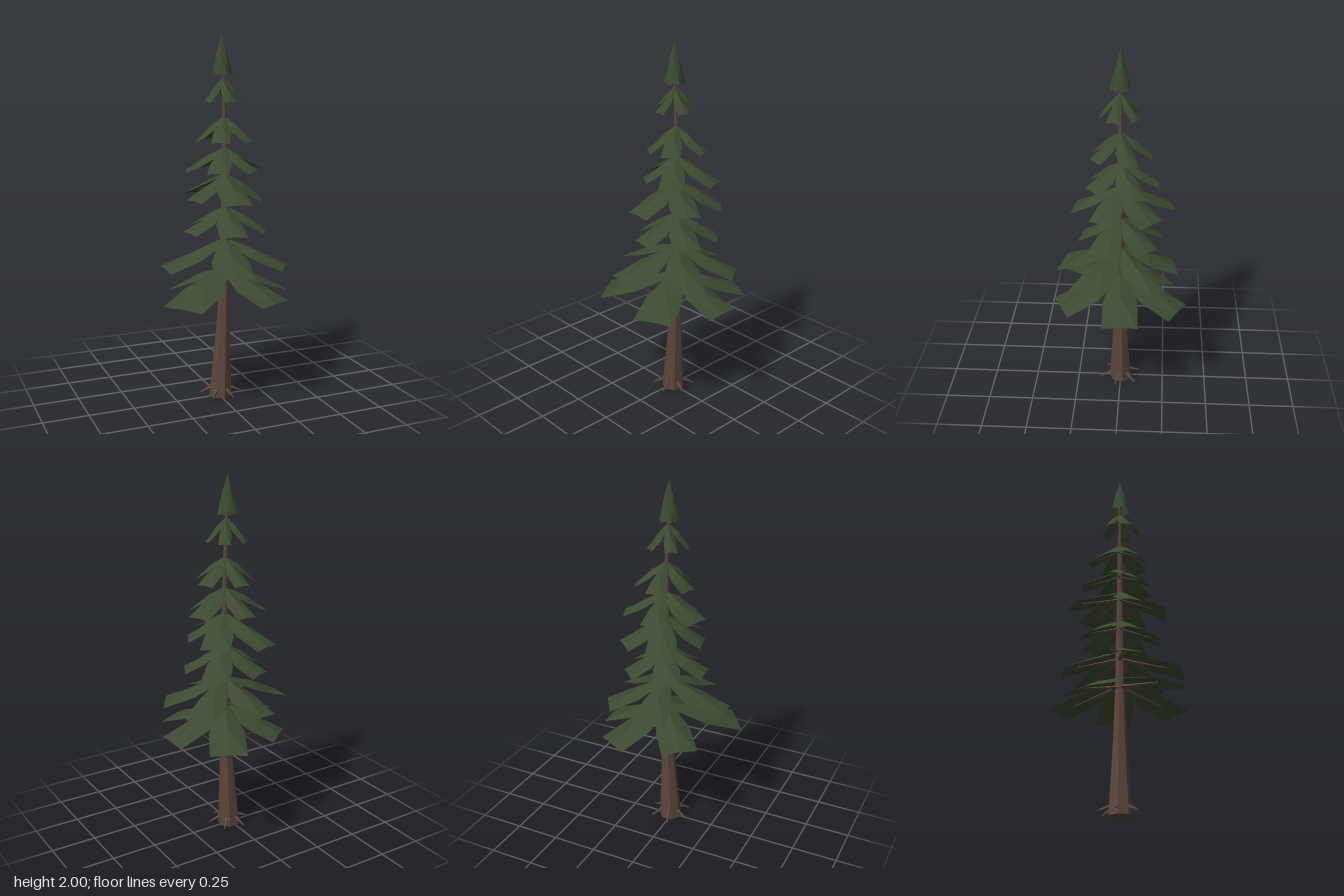
import * as THREE from 'three';

const needleGreen = new THREE.MeshStandardMaterial({ color: 0x3b4a30 });
needleGreen.name = 'needle green';
needleGreen.flatShading = true;
needleGreen.side = THREE.DoubleSide;
const barkBrown = new THREE.MeshStandardMaterial({ color: 0x5b463c });
barkBrown.name = 'bark brown';
barkBrown.flatShading = true;

// Trunk stations: height, centre x, radius
const TRUNK = [[0, 0.012, 0.064], [0.4, 0.027, 0.039], [0.7, 0.037, 0.027],
  [1.1, 0.037, 0.02], [1.5, 0.036, 0.013], [1.95, 0.018, 0.004]];

function trunkX(y) {
  for (let i = 1; i < TRUNK.length; i++) {
    const [y0, x0] = TRUNK[i - 1], [y1, x1] = TRUNK[i];
    if (y <= y1) return x0 + (x1 - x0) * (y - y0) / (y1 - y0);
  }
  return 0.018;
}

// Whorls from the ground up: top height, tip height, fronds as [degrees from +x towards +z, reach, width]
const ring = (start, reach, width, n = 5) =>
  Array.from({ length: n }, (_, i) => [start + i * 360 / n, reach, width]);
const WHORLS = [
  [0.75, 0.595, [[-2, 0.345, 0.195], [64, 0.36, 0.218], [145, 0.41, 0.25], [-129, 0.31, 0.2], [-61, 0.367, 0.2]]],
  [0.91, 0.755, [[33, 0.333, 0.195], [103, 0.34, 0.21], [181, 0.345, 0.206], [-98, 0.31, 0.175], [-34, 0.325, 0.17]]],
  [1.09, 0.95, ring(28, 0.22, 0.15)],
  [1.27, 0.125 + 1, [[97, 0.255, 0.16], [168, 0.2, 0.15], [-108, 0.285, 0.16], [-45, 0.24, 0.16], [28, 0.2, 0.15]]],
  [1.41, 1.28, [[-20, 0.225, 0.13], [53, 0.18, 0.13], [125, 0.17, 0.12], [-164, 0.21, 0.16], [-92, 0.205, 0.115]]],
  [1.575, 1.44, [[-90, 0.165, 0.09], [-18, 0.165, 0.1], [54, 0.16, 0.1], [120, 0.15, 0.1], [196, 0.15, 0.1]]],
  [1.78, 1.65, ring(20, 0.108, 0.065)],
  [2.0, 1.79, ring(50, 0.05, 0.06)],
];

// Frond: strip along +x, ridged in the middle, flat at the tip
function frondGeometry(reach, width, drop) {
  const rows = [ // distance, half width, ridge drop, edge drop
    [0, 0.14 * width, 0, 0.12],
    [0.5 * reach, 0.48 * width, 0.38, 0.62],
    [reach, 0.5 * width, 0.96, 1],
  ];
  const pos = [], index = [];
  for (const [x, h, ridge, edge] of rows)
    pos.push(x, -edge * drop, -h, x, -ridge * drop, 0, x, -edge * drop, h);
  for (let i = 0; i < 2; i++) for (let j = 0; j < 2; j++) {
    const a = i * 3 + j, b = a + 1, c = a + 3, d = a + 4;
    index.push(a, b, c, b, d, c);
  }
  const g = new THREE.BufferGeometry();
  g.setAttribute('position', new THREE.Float32BufferAttribute(pos, 3));
  g.setIndex(index);
  g.computeVertexNormals();
  return g;
}

// Tapered stick between two points
function stick(name, from, to, r0, r1, sides = 4) {
  const dir = to.clone().sub(from);
  const mesh = new THREE.Mesh(new THREE.CylinderGeometry(r1, r0, dir.length(), sides), barkBrown);
  mesh.name = name;
  mesh.position.copy(from).add(to).multiplyScalar(0.5);
  mesh.quaternion.setFromUnitVectors(new THREE.Vector3(0, 1, 0), dir.normalize());
  return mesh;
}

function makeTrunk() {
  const n = TRUNK.length - 1;
  const g = new THREE.CylinderGeometry(1, 1, n, 7, n);
  const p = g.attributes.position;
  for (let i = 0; i < p.count; i++) {
    const [y, x, r] = TRUNK[Math.round(p.getY(i) + n / 2)];
    p.setXYZ(i, x + p.getX(i) * r, y, p.getZ(i) * r);
  }
  g.computeVertexNormals();
  const mesh = new THREE.Mesh(g, barkBrown);
  mesh.name = 'trunk';
  return mesh;
}

export function createModel() {
  const tree = new THREE.Group();
  tree.name = 'conifer';
  tree.add(makeTrunk());

  // Roots sloping out to the ground
  const roots = new THREE.Group();
  roots.name = 'roots';
  for (let i = 0; i < 6; i++) {
    const a = 0.25 + i * Math.PI / 3;
    const at = (r, y) => new THREE.Vector3(0.012 + r * Math.cos(a), y, r * Math.sin(a));
    roots.add(stick('root', at(0.045, 0.05), at(0.118, 0.018), 0.012, 0.004));
  }
  tree.add(roots);

  // Drooping whorls of fronds, each carried by a branch
  WHORLS.forEach(([top, tip, fronds], level) => {
    const whorl = new THREE.Group();
    whorl.name = level === WHORLS.length - 1 ? 'crownTip' : 'whorl' + (level + 1);
    whorl.position.set(trunkX(top), top, 0);
    const drop = top - tip;
    for (const [degrees, reach, width] of fronds) {
      const arm = new THREE.Group();
      arm.name = 'branchWithFrond';
      arm.rotation.y = -THREE.MathUtils.degToRad(degrees);
      const frond = new THREE.Mesh(frondGeometry(reach, width, drop), needleGreen);
      frond.name = 'frond';
      arm.add(frond);
      if (level < WHORLS.length - 1) {
        const thick = 0.012 * reach / 0.35 + 0.001;
        arm.add(stick('branch', new THREE.Vector3(0, -0.35 * drop, 0),
          new THREE.Vector3(0.75 * reach, -0.78 * drop, 0), thick, thick * 0.3));
      }
      whorl.add(arm);
    }
    tree.add(whorl);
  });
  return tree;
}
